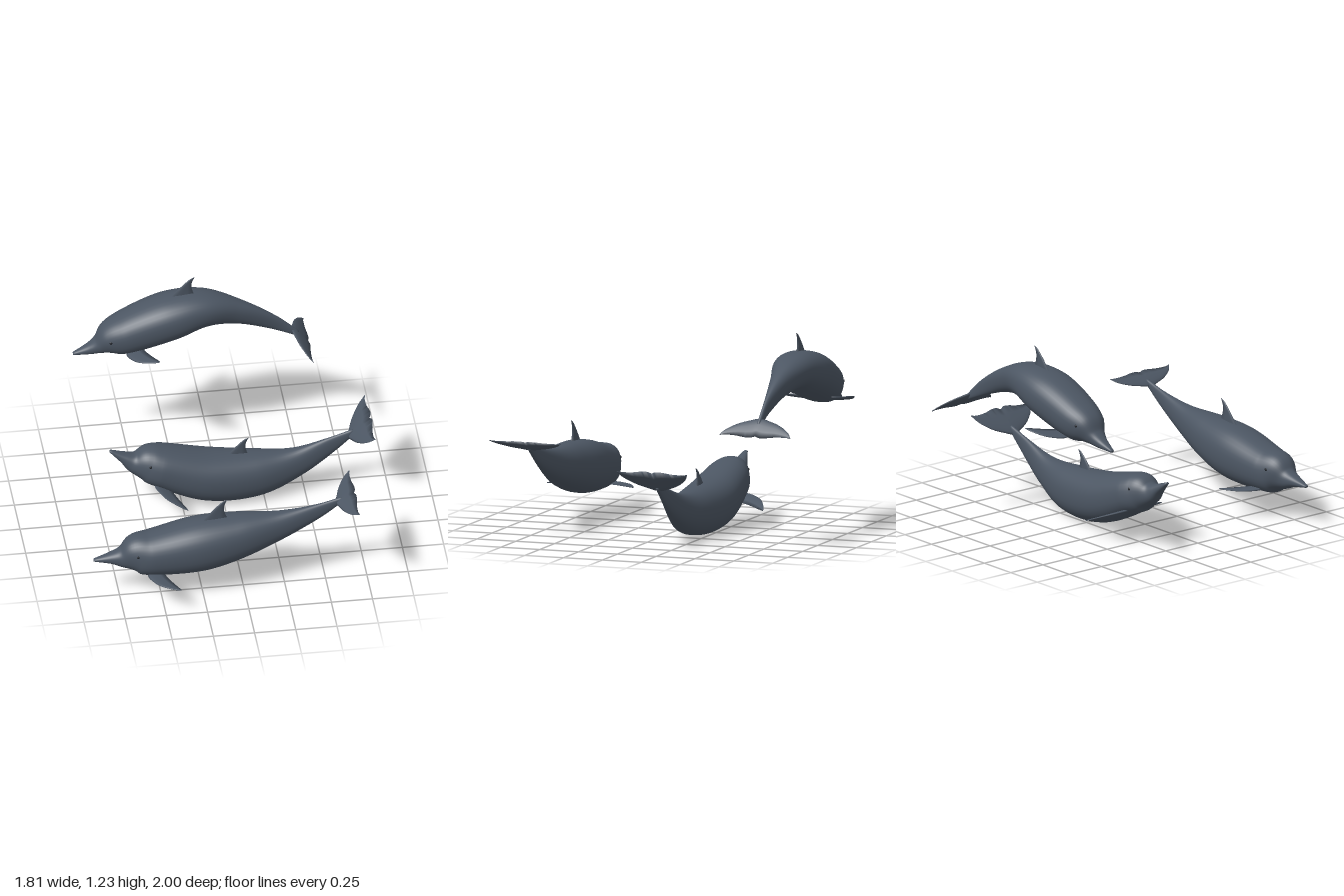
import * as THREE from 'three';

const skin = new THREE.MeshStandardMaterial({ color: 0x4c5663 });
skin.name = 'slateSkin';
const eyeDark = new THREE.MeshStandardMaterial({ color: 0x23272d });
eyeDark.name = 'darkEye';

const V = (x, y, z = 0) => new THREE.Vector3(x, y, z);
const smooth = (rows) => new THREE.CatmullRomCurve3(rows.map((r) => V(...r)), false, 'centripetal');

// Closed skin through a row of closed rings, with capped ends
function loft(name, rings) {
  const n = rings[0].length, pos = [], idx = [];
  for (const ring of rings) for (const p of ring) pos.push(p.x, p.y, p.z);
  for (let i = 0; i < rings.length - 1; i++) {
    for (let j = 0; j < n; j++) {
      const a = i * n + j, b = i * n + (j + 1) % n;
      idx.push(a, b, a + n, b, b + n, a + n);
    }
  }
  for (const end of [0, rings.length - 1]) {
    const c = rings[end].reduce((s, p) => s.add(p), V(0, 0)).divideScalar(n);
    const k = pos.length / 3;
    pos.push(c.x, c.y, c.z);
    for (let j = 0; j < n; j++) {
      const a = end * n + j, b = end * n + (j + 1) % n;
      if (end === 0) idx.push(k, b, a); else idx.push(k, a, b);
    }
  }
  // Turn the faces outward if the enclosed volume is negative
  const at = (i) => V(pos[3 * i], pos[3 * i + 1], pos[3 * i + 2]).sub(rings[0][0]);
  let volume = 0;
  for (let i = 0; i < idx.length; i += 3) volume += at(idx[i]).dot(at(idx[i + 1]).cross(at(idx[i + 2])));
  if (volume < 0) idx.reverse();
  const geometry = new THREE.BufferGeometry();
  geometry.setAttribute('position', new THREE.Float32BufferAttribute(pos, 3));
  geometry.setIndex(idx);
  geometry.computeVertexNormals();
  const mesh = new THREE.Mesh(geometry, skin);
  mesh.name = name;
  return mesh;
}

// Half width of every body from beak tip to tail stock
const halfWidth = smooth([0.012, 0.042, 0.065, 0.11, 0.138, 0.161, 0.13, 0.066, 0.022, 0.012]
  .map((w, i) => [i, w, 0]));

// Point on a slightly squared elliptical section across the spine (x, y, height)
function bodyPoint(spine, t, angle) {
  const square = (v) => Math.sign(v) * Math.abs(v) ** 0.87;
  const s = spine.getPoint(t), along = spine.getTangent(t).setZ(0).normalize();
  const up = 0.5 * s.z * square(Math.cos(angle));
  return V(s.x - along.y * up, s.y + along.x * up, halfWidth.getPoint(t).y * square(Math.sin(angle)));
}

function makeBody(spine) {
  const steps = 80, sides = 36;
  return loft('body', Array.from({ length: steps + 1 }, (_, i) =>
    Array.from({ length: sides }, (_, j) => bodyPoint(spine, i / steps, j / sides * Math.PI * 2))));
}

// Lens-shaped fin section from leading to trailing edge
function finRing(lead, trail, normal, thick) {
  const us = [0, 0.06, 0.2, 0.4, 0.7, 1];
  const point = (u, side) => lead.clone().lerp(trail, u)
    .addScaledVector(normal, side * thick * 1.3 * Math.sqrt(u) * (1 - u));
  return [...us.map((u) => point(u, 1)), ...us.slice(1, -1).reverse().map((u) => point(u, -1))];
}

// Swept dorsal fin; rows are leading x, trailing x, height
function makeDorsalFin([ox, oy]) {
  const rows = smooth([[-0.255, -0.08, 0.46], [-0.205, -0.107, 0.52], [-0.163, -0.113, 0.565],
    [-0.122, -0.1, 0.602], [-0.098, -0.093, 0.614]]).getPoints(16);
  return loft('dorsalFin', rows.map((r, i) =>
    finRing(V(r.x + ox, r.z + oy), V(r.y + ox, r.z + oy), V(0, 0, 1), 0.018 - i * 0.0009)));
}

// Side fin; rows are leading offset, trailing offset, distance from the midline
function makeFlipper(name, [x, y, slope], side) {
  const rows = smooth([[0, 0.1, 0.07], [0, 0.108, 0.12], [0.025, 0.13, 0.175], [0.06, 0.152, 0.22],
    [0.14, 0.176, 0.268], [0.17, 0.178, 0.277]]).getPoints(18);
  const normal = V(-slope, 1).normalize();
  const at = (dx, z) => V(x + dx, y + slope * dx, side * z);
  return loft(name, rows.map((r, i) =>
    finRing(at(r.x, r.z), at(r.y, r.z), normal, 0.02 - i * 0.0009)));
}

// Tail flukes; rows are leading and trailing fraction, distance from the midline
function makeFlukes(spine, [tipX, tipY]) {
  const half = [[0, 0.93, 0], [0, 1, 0.025], [0.09, 1, 0.06], [0.25, 0.93, 0.12],
    [0.6, 0.91, 0.195], [0.92, 0.96, 0.228]];
  const mirrored = half.slice(1).reverse().map(([a, b, z]) => [a, b, -z]);
  const tip = V(tipX, tipY), root = spine.getPoint(1).setZ(0);
  const along = tip.clone().sub(root).normalize();
  root.addScaledVector(along, -0.045);
  const at = (s, z) => root.clone().lerp(tip, s).setZ(z);
  return loft('tailFlukes', smooth([...mirrored, ...half]).getPoints(40).map((r) =>
    finRing(at(r.x, r.z), at(r.y, r.z), V(-along.y, along.x), 0.005 + 0.02 * (1 - Math.abs(r.z) / 0.23))));
}

function makeEye(name, spine, side) {
  const eye = new THREE.Mesh(new THREE.SphereGeometry(0.009, 16, 12), eyeDark);
  eye.position.copy(bodyPoint(spine, 1 / 3, side * 1.3));
  eye.scale.z = 0.5;
  eye.name = name;
  return eye;
}

// Spine rows are x, y and body height, from beak tip to tail stock
function makeDolphin(name, z, { spineRows, dorsal, flipper, flukeTip }) {
  const spine = smooth(spineRows);
  const dolphin = new THREE.Group();
  dolphin.name = name;
  dolphin.position.z = z;
  dolphin.add(
    makeBody(spine), makeDorsalFin(dorsal), makeFlukes(spine, flukeTip),
    makeFlipper('leftFlipper', flipper, 1), makeFlipper('rightFlipper', flipper, -1),
    makeEye('leftEye', spine, 1), makeEye('rightEye', spine, -1),
  );
  return dolphin;
}

const level = {
  spineRows: [[-0.903, 0.25, 0.014], [-0.795, 0.258, 0.07], [-0.73, 0.26, 0.13], [-0.643, 0.278, 0.245],
    [-0.553, 0.277, 0.267], [-0.26, 0.314, 0.325], [-0.01, 0.355, 0.275], [0.235, 0.405, 0.18],
    [0.46, 0.482, 0.095], [0.608, 0.555, 0.03]],
  dorsal: [0, 0], flipper: [-0.585, 0.175, 0], flukeTip: [0.685, 0.597],
};
const curvedUp = {
  spineRows: [[-0.679, 0.394, 0.014], [-0.593, 0.338, 0.07], [-0.538, 0.304, 0.129], [-0.455, 0.288, 0.227],
    [-0.378, 0.265, 0.25], [-0.09, 0.17, 0.306], [0.21, 0.154, 0.284], [0.448, 0.206, 0.19],
    [0.655, 0.308, 0.107], [0.798, 0.393, 0.035]],
  dorsal: [0.255, -0.205], flipper: [-0.42, 0.18, -0.4], flukeTip: [0.905, 0.495],
};
const leaping = {
  spineRows: [[-0.828, 0.738, 0.016], [-0.725, 0.769, 0.066], [-0.673, 0.793, 0.1], [-0.598, 0.837, 0.204],
    [-0.51, 0.869, 0.244], [-0.245, 0.963, 0.27], [-0.04, 1.002, 0.212], [0.165, 0.955, 0.153],
    [0.38, 0.855, 0.095], [0.533, 0.758, 0.034]],
  dorsal: [0.003, 0.614], flipper: [-0.515, 0.77, 0.3], flukeTip: [0.605, 0.69],
};

export function createModel() {
  const model = new THREE.Group();
  model.name = 'dolphinPod';
  model.add(
    makeDolphin('frontDolphin', 0.72, level),
    makeDolphin('middleDolphin', -0.18, curvedUp),
    makeDolphin('backDolphin', -0.73, leaping),
  );
  return model;
}
